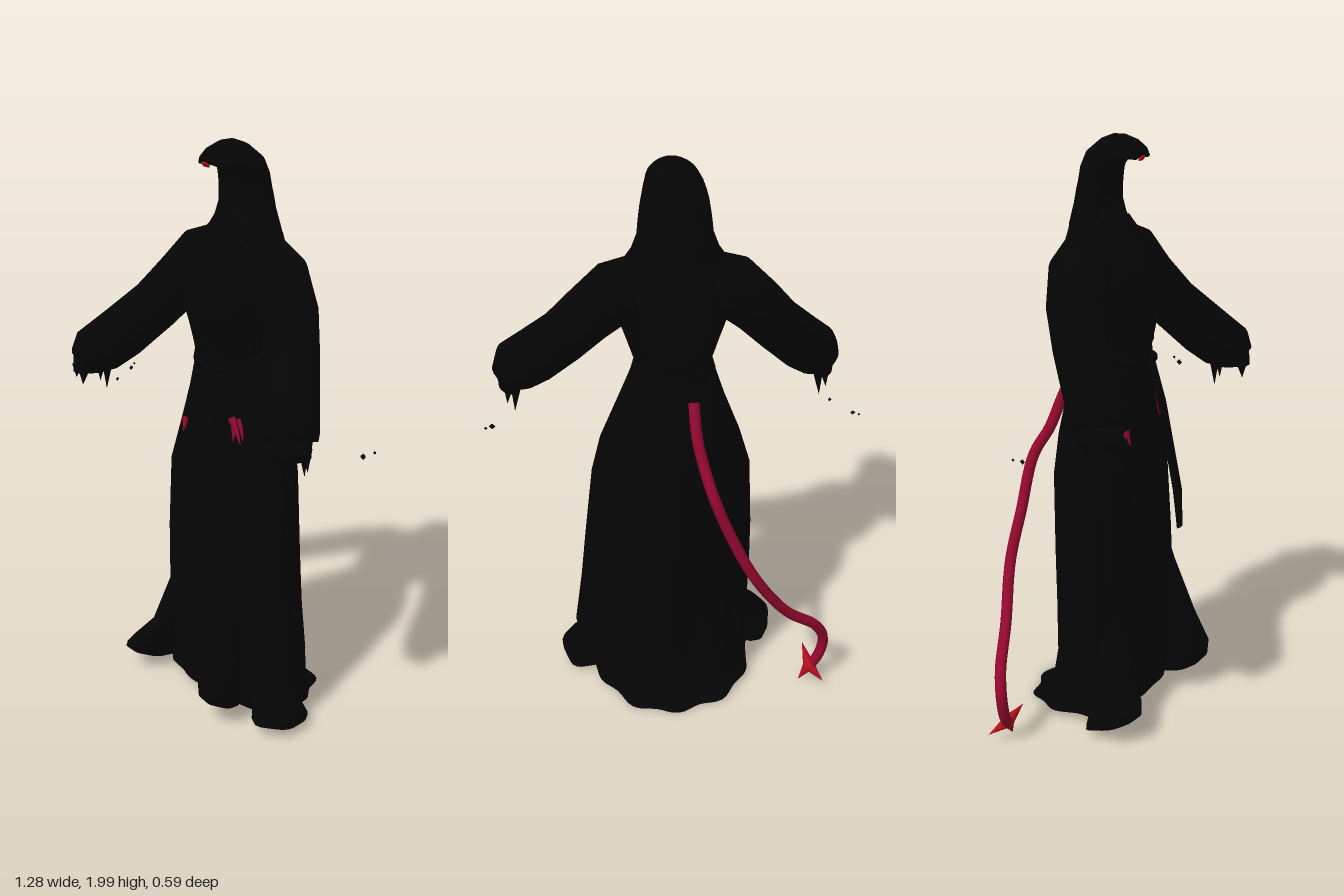
import * as THREE from 'three';

const V = (x, y, z) => new THREE.Vector3(x, y, z);

// Loft. Section: [x, y, z, halfWidth, halfDepth, tilt or direction, fold depth, slope along z, back depth]
function loft(sections, n = 40, folds = 11, openStart = false) {
  const pos = [], idx = [];
  const first = [...sections[0]], last = [...sections[sections.length - 1]];
  first[3] = first[4] = last[3] = last[4] = 0;
  const all = openStart ? [...sections, last] : [first, ...sections, last];
  all.forEach(([x, y, z, rx, rz, dir = 0, fold = 0, slope = 0, back = rz]) => {
    const d = Array.isArray(dir) ? V(...dir).normalize() : V(0, Math.cos(dir), Math.sin(dir));
    const u = V(1, 0, 0).addScaledVector(d, -d.x).normalize();
    const v = u.clone().cross(d);
    for (let j = 0; j < n; j++) {
      const a = (j / n) * Math.PI * 2, s = Math.sin(a);
      const k = 1 + fold * (Math.sin(folds * a) + 0.5 * Math.sin(5 * a + 1));
      const depth = s < 0 && rz > 0 ? back : rz;
      const p = V(x, y, z).addScaledVector(u, Math.cos(a) * rx * k).addScaledVector(v, s * depth * k);
      pos.push(p.x, p.y + slope * (p.z - z), p.z);
    }
  });
  for (let i = 0; i < all.length - 1; i++) for (let j = 0; j < n; j++) {
    const a = i * n + j, b = i * n + (j + 1) % n;
    idx.push(a, a + n, b, b, a + n, b + n);
  }
  const g = new THREE.BufferGeometry();
  g.setAttribute('position', new THREE.Float32BufferAttribute(pos, 3));
  g.setIndex(idx);
  g.computeVertexNormals();
  return g;
}

export function createModel() {
  const root = new THREE.Group();
  const cloth = new THREE.MeshStandardMaterial({ color: 0x050505, side: THREE.DoubleSide });
  const crimson = new THREE.MeshStandardMaterial({ color: 0x94082f });
  const red = new THREE.MeshStandardMaterial({ color: 0xb30f1c });
  cloth.name = 'black cloth'; crimson.name = 'crimson skin'; red.name = 'red';
  const add = (name, geo, mat = cloth, parent = root) => {
    const m = new THREE.Mesh(geo, mat);
    m.name = name;
    parent.add(m);
    return m;
  };
  // Cone from a base point to a tip
  const spike = (name, from, to, r, mat, parent) => {
    const a = V(...from), b = V(...to);
    const m = add(name, new THREE.ConeGeometry(r, a.distanceTo(b), 8), mat, parent);
    m.position.copy(a).lerp(b, 0.5);
    m.quaternion.setFromUnitVectors(V(0, 1, 0), b.sub(a).normalize());
  };

  // Long pleated skirt, open below, widest toward the front, with a trailing hem
  add('skirt', loft([
    [0.01, 0.04, 0.03, 0.29, 0.12, 0, 0.03, 0.1, 0.32],
    [0.015, 0.065, 0.03, 0.295, 0.125, 0, 0.03, 0.1, 0.235],
    [0.036, 0.2, 0.03, 0.31, 0.135, 0, 0.03, 0, 0.21],
    [0.02, 0.4, 0.025, 0.3, 0.14, 0, 0.03, 0, 0.2],
    [0.01, 0.6, 0.02, 0.29, 0.145, 0, 0.03, 0, 0.197],
    [0.002, 0.86, 0.015, 0.272, 0.142, 0, 0.025, 0, 0.197],
    [0.007, 1.0, 0.005, 0.238, 0.13, 0, 0.02, 0, 0.178],
    [0.005, 1.15, 0, 0.18, 0.125, 0, 0.02, 0, 0.148],
    [0, 1.28, 0.005, 0.135, 0.115],
  ], 88, 11, true));

  // Hem folds pushed out around the feet
  add('leftHemFold', loft([
    [0.165, 0.075, 0.19, 0.05, 0.06, 0, 0.04, 0.3],
    [0.17, 0.11, 0.205, 0.068, 0.08, 0, 0.04, 0.3],
    [0.17, 0.19, 0.21, 0.066, 0.08, 0, 0.04],
    [0.155, 0.3, 0.175, 0.055, 0.068],
    [0.135, 0.5, 0.12, 0.045, 0.05],
    [0.12, 0.65, 0.09, 0.03, 0.04],
  ], 28, 5));
  add('rightHemFold', loft([
    [-0.315, 0.05, 0.13, 0.05, 0.08, 0, 0.04, 0.3],
    [-0.315, 0.08, 0.15, 0.07, 0.095, 0, 0.04, 0.3],
    [-0.285, 0.14, 0.15, 0.062, 0.085],
    [-0.235, 0.22, 0.12, 0.045, 0.06],
    [-0.18, 0.45, 0.07, 0.04, 0.04],
  ], 28, 5));
  add('sideHemFold', loft([
    [0.33, 0.04, 0.07, 0.075, 0.1, 0, 0.04, 0.15],
    [0.33, 0.06, 0.07, 0.078, 0.11, 0, 0.04, 0.15],
    [0.3, 0.1, 0.06, 0.06, 0.09],
    [0.27, 0.19, 0.05, 0.05, 0.06],
  ], 28, 5));

  // Upper robe
  add('torso', loft([
    [0, 1.25, 0.005, 0.14, 0.118],
    [0, 1.3, 0.01, 0.13, 0.118],
    [0, 1.38, 0.01, 0.155, 0.13, 0, 0.012],
    [0, 1.47, 0.01, 0.185, 0.15, 0, 0.015],
    [0, 1.56, 0.005, 0.2, 0.15, 0, 0.012],
    [0, 1.64, -0.025, 0.2, 0.12],
    [0, 1.7, -0.05, 0.16, 0.085],
    [0, 1.76, -0.055, 0.12, 0.065],
  ], 56));
  add('belt', loft([
    [0, 1.24, 0.005, 0.14, 0.12],
    [0, 1.26, 0.005, 0.143, 0.125],
    [0, 1.29, 0.005, 0.135, 0.123],
    [0, 1.31, 0.005, 0.128, 0.118],
  ]));

  // Crossed collar edges
  for (const s of [1, -1]) {
    const c = new THREE.CatmullRomCurve3([V(s * 0.1, 1.72, 0), V(s * 0.085, 1.6, 0.1), V(s * 0.04, 1.48, 0.15), V(-s * 0.03, 1.32, 0.125)]);
    add('collarEdge', new THREE.TubeGeometry(c, 16, 0.009, 6));
  }

  // Sash hanging from the belt
  add('sashKnot', new THREE.SphereGeometry(0.022, 14, 10)).position.set(0.03, 1.26, 0.125);
  add('sash', loft([
    [0.1, 0.64, 0.208, 0.022, 0.006],
    [0.092, 0.78, 0.2, 0.028, 0.012],
    [0.08, 0.95, 0.172, 0.026, 0.012],
    [0.06, 1.1, 0.152, 0.024, 0.012],
    [0.03, 1.25, 0.125, 0.016, 0.012],
  ], 14));

  // Hood whose peak curls forward; its rim arches down at the sides around a face hollow
  const hood = loft([
    [0, 1.62, -0.035, 0.175, 0.105],
    [0, 1.71, -0.055, 0.148, 0.082],
    [0, 1.78, -0.055, 0.122, 0.068],
    [0, 1.82, -0.051, 0.118, 0.065],
    [0, 1.85, -0.047, 0.114, 0.062],
    [0, 1.885, -0.041, 0.11, 0.062, 0.25],
    [0, 1.917, -0.03, 0.103, 0.06, 0.55],
    [0, 1.943, -0.008, 0.096, 0.051, 1.0],
    [0, 1.956, 0.012, 0.09, 0.045, 1.25],
    [0, 1.962, 0.034, 0.085, 0.037, 1.55],
    [0, 1.957, 0.067, 0.077, 0.029, 1.9],
    [0, 1.946, 0.09, 0.066, 0.022, 2.15],
    [0, 1.934, 0.104, 0.05, 0.013, 2.4],
  ], 44);
  const hp = hood.attributes.position;
  for (let i = 0; i < hp.count; i++) {
    const x = hp.getX(i), y = hp.getY(i), z = hp.getZ(i);
    if (y > 1.87) hp.setY(i, y - 3.5 * x * x * THREE.MathUtils.clamp((z + 0.06) / 0.08, 0, 1));
    if (y > 1.75 && y < 1.9 && z > -0.04 && Math.abs(x) < 0.085) hp.setZ(i, z - 0.04 * (1 - (x / 0.085) ** 2));
  }
  hood.computeVertexNormals();
  add('hood', hood);
  add('hoodDrape', loft([
    [0, 1.34, -0.183, 0.04, 0.008],
    [0, 1.4, -0.175, 0.095, 0.018],
    [0, 1.5, -0.152, 0.125, 0.03],
    [0, 1.62, -0.115, 0.13, 0.042],
    [0, 1.76, -0.065, 0.12, 0.055],
  ], 32));
  // Small red mark under the hood's peak
  const mark = add('browMark', new THREE.BoxGeometry(0.028, 0.016, 0.006), red);
  mark.position.set(-0.013, 1.926, 0.106);
  mark.rotation.x = 0.65;

  // Wide sleeves with drooping hands
  for (const s of [1, -1]) {
    const arm = new THREE.Group();
    arm.name = s > 0 ? 'leftArm' : 'rightArm';
    root.add(arm);
    const sec = (x, y, z, a, b, d, f = 0.015) => [s * x, y, z, a, b, [s * d[0], d[1], d[2]], f];
    add('sleeve', loft([
      sec(0.1, 1.615, -0.045, 0.09, 0.09, [0.9, -0.35, 0.1]),
      sec(0.19, 1.572, -0.03, 0.104, 0.103, [0.8, -0.6, 0.15]),
      sec(0.28, 1.48, 0.0, 0.095, 0.096, [0.65, -0.7, 0.3]),
      sec(0.36, 1.375, 0.06, 0.09, 0.094, [0.6, -0.7, 0.45]),
      sec(0.45, 1.268, 0.143, 0.092, 0.098, [0.6, -0.65, 0.5]),
      sec(0.515, 1.2, 0.2, 0.091, 0.098, [0.5, -0.75, 0.4]),
      sec(0.528, 1.17, 0.208, 0.08, 0.09, [0.3, -0.9, 0.25]),
    ], 36, 7), cloth, arm);
    add('hand', loft([
      sec(0.53, 1.18, 0.21, 0.06, 0.075, [0, -1, 0.1]),
      sec(0.545, 1.12, 0.215, 0.042, 0.07, [0, -1, 0.1]),
    ], 20, 5), cloth, arm);
    for (const [x, y, z] of [[0.585, 1.09, 0.25], [0.535, 1.04, 0.155], [0.56, 1.065, 0.165], [0.515, 1.085, 0.27]])
      spike('finger', [s * (x - 0.008), 1.14, z], [s * x, y, z], 0.019, cloth, arm);
  }

  // Small loose scraps beside the hands
  for (const [x, y, z, r] of [[0.613, 1.088, -0.02, 0.011], [0.634, 1.1, -0.05, 0.006], [-0.62, 1.06, -0.015, 0.009], [-0.635, 1.067, -0.04, 0.005], [-0.56, 1.055, 0.09, 0.007]])
    add('scrap', new THREE.OctahedronGeometry(r)).position.set(x, y, z);

  // Red tassels on the hips
  spike('leftTassel', [0.112, 1.1, 0.098], [0.168, 1.018, 0.108], 0.017, crimson);
  spike('leftTassel', [0.136, 1.1, 0.085], [0.17, 1.03, 0.1], 0.014, crimson);
  spike('leftTassel', [0.125, 1.07, 0.102], [0.134, 1.022, 0.114], 0.011, crimson);
  spike('rightTassel', [-0.13, 1.035, 0.104], [-0.126, 0.985, 0.124], 0.015, crimson);

  // Tail with a barbed tip
  const path = new THREE.CatmullRomCurve3([
    V(-0.055, 1.2, -0.125), V(-0.06, 1.1, -0.17), V(-0.08, 1.0, -0.205), V(-0.11, 0.9, -0.255),
    V(-0.18, 0.72, -0.268), V(-0.26, 0.56, -0.27), V(-0.38, 0.38, -0.225),
    V(-0.5, 0.27, -0.18), V(-0.533, 0.19, -0.16), V(-0.515, 0.11, -0.16), V(-0.485, 0.07, -0.165),
  ]);
  add('tail', new THREE.TubeGeometry(path, 60, 0.019, 10), crimson);
  const hub = [-0.485, 0.075, -0.165];
  for (const tip of [[-0.445, 0.015, -0.17], [-0.53, 0.035, -0.215], [-0.465, 0.145, -0.115]])
    spike('tailBarb', hub, tip, 0.022, red);
  add('tailHub', new THREE.SphereGeometry(0.022, 12, 8), red).position.set(...hub);

  return root;
}
